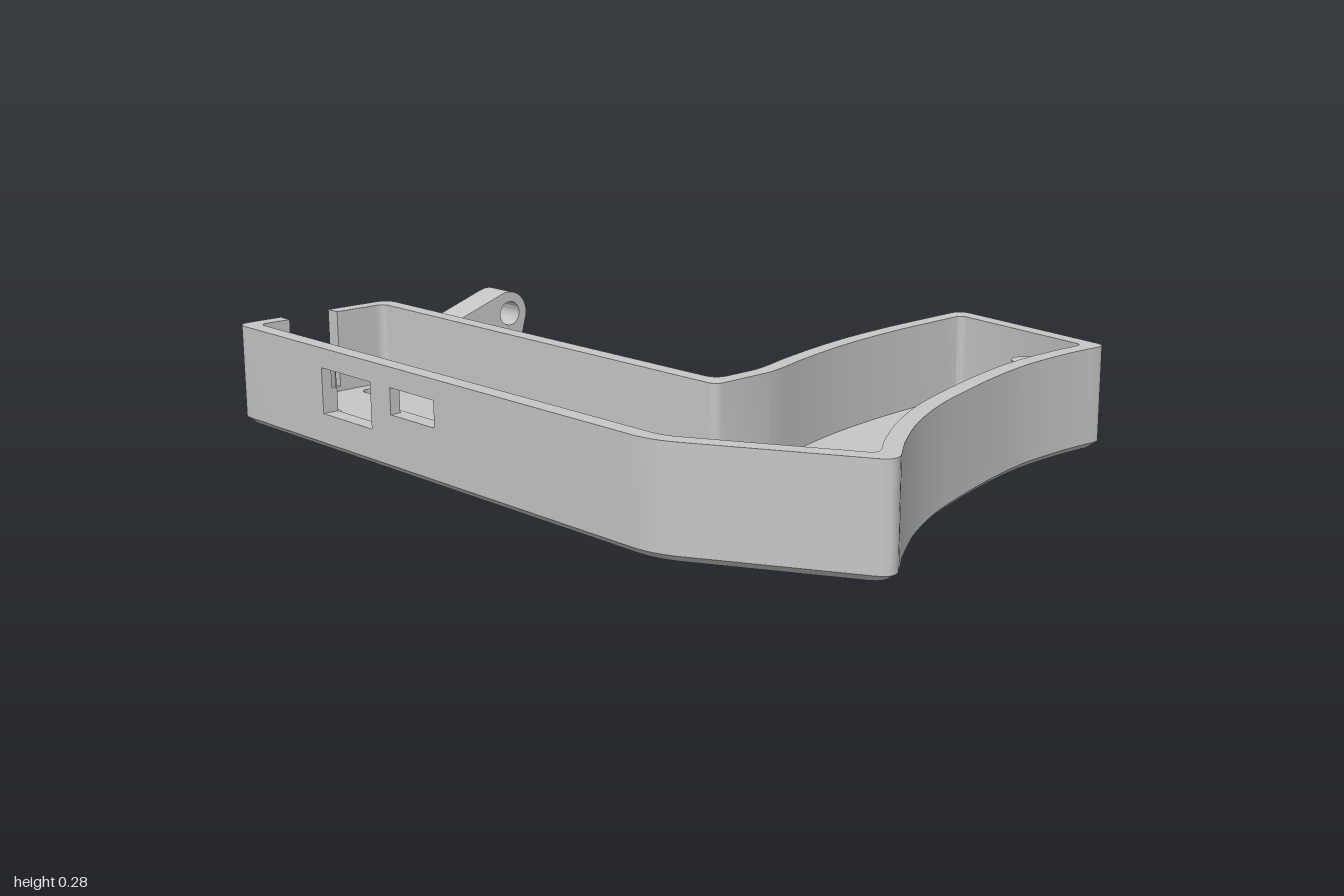
import * as THREE from 'three';
import { toCreasedNormals } from 'three/addons/utils/BufferGeometryUtils.js';

const WALL = 0.042, FLOOR = 0.04, CHAMFER = 0.016, TOP = 0.255;
const grey = new THREE.MeshStandardMaterial({ color: 0xc6c6c6 });
grey.name = 'grey plastic';

// Corners are [x, z, rounding]; curves become runs of unrounded corners.
const curve = (pts) =>
  new THREE.SplineCurve(pts.map(([x, z]) => new THREE.Vector2(x, z))).getPoints(24).map((p) => [p.x, p.y, 0]);

// Main run of the wall, from the back notch round to the windowed panel
const mainRun = [
  [-0.455, -1, 0], [-0.266, -1, 0.04], [-0.266, 0.282, 0.04],
  ...curve([[-0.14, 0.282], [-0.09, 0.272], [0, 0.247], [0.15, 0.214], [0.3, 0.193], [0.45, 0.183], [0.6, 0.181]]),
  [0.735, 0.181, 0.04], [0.656, 0.7, 0.035],
  ...curve([[0.6, 0.691], [0.5, 0.685], [0.35, 0.689], [0.2, 0.714], [0.05, 0.75], [-0.1, 0.794], [-0.25, 0.859], [-0.38, 0.937]]),
  [-0.487, 1.016, 0.045], [-0.73, 0.57, 0.06], [-0.73, -0.1, 0],
];
// Short run round the back corner
const cornerRun = [[-0.73, -0.72, 0], [-0.73, -1, 0.04], [-0.6, -1, 0]];

// Move a run of corners inwards by d, mitring each corner
function inset(run, d, closed) {
  const n = run.length;
  const normal = (i, j) => {
    const dx = run[j][0] - run[i][0], dz = run[j][1] - run[i][1], l = Math.hypot(dx, dz);
    return [-dz / l, dx / l];
  };
  return run.map(([x, z, t], i) => {
    const hasPrev = closed || i > 0, hasNext = closed || i < n - 1;
    const b = hasNext ? normal(i, (i + 1) % n) : normal(i - 1, i);
    const a = hasPrev ? normal((i + n - 1) % n, i) : b;
    const k = d / (1 + a[0] * b[0] + a[1] * b[1]);
    return [x + (a[0] + b[0]) * k, z + (a[1] + b[1]) * k, t * (d > 0.03 ? 0.6 : 1)];
  });
}

// Round the corners and return plan points (x, -z)
function rounded(run) {
  const out = [], n = run.length;
  run.forEach(([x, z, t], i) => {
    const c = new THREE.Vector2(x, -z);
    if (!t) { out.push(c); return; }
    const towards = (q) => {
      const v = new THREE.Vector2(q[0], -q[1]).sub(c);
      return c.clone().add(v.setLength(t));
    };
    out.push(...new THREE.QuadraticBezierCurve(towards(run[(i + n - 1) % n]), c, towards(run[(i + 1) % n])).getPoints(8));
  });
  return out;
}

// Holes run against the clockwise outlines
function circleHole(x, y, r) {
  const p = new THREE.Path();
  p.absarc(x, y, r, 0, Math.PI * 2, false);
  return p;
}

const extrude = (shape, depth) => new THREE.ExtrudeGeometry(shape, { depth, bevelEnabled: false, curveSegments: 24 });

export function createModel() {
  const model = new THREE.Group();
  const add = (name, geometry) => {
    const mesh = new THREE.Mesh(toCreasedNormals(geometry, 0.5), grey);
    mesh.name = name;
    model.add(mesh);
  };
  // Plan shape raised between two heights
  const slab = (shape, y0, y1) => extrude(shape, y1 - y0).rotateX(-Math.PI / 2).translate(0, y0, 0);

  // Floor with screw holes
  const outline = [...mainRun, ...cornerRun];
  const screws = [[-0.648, -0.842], [-0.39, -0.897], [0.645, 0.262], [-0.13, 0.721]];
  const outer = rounded(outline);
  const floorShape = new THREE.Shape(outer);
  screws.forEach(([x, z]) => floorShape.holes.push(circleHole(x, -z, 0.028)));
  add('floor', slab(floorShape, CHAMFER, FLOOR));

  // Chamfered underside: edge drawn in, screw holes flared out
  const lower = rounded(inset(outline, CHAMFER, true));
  const base = slab(floorShape, 0, CHAMFER);
  const pos = base.attributes.position;
  for (let i = 0; i < pos.count; i++) {
    if (pos.getY(i) > CHAMFER / 2) continue;
    const x = pos.getX(i), z = pos.getZ(i);
    const screw = screws.find(([sx, sz]) => Math.hypot(x - sx, z - sz) < 0.032);
    if (screw) {
      pos.setX(i, screw[0] + (x - screw[0]) * 1.6);
      pos.setZ(i, screw[1] + (z - screw[1]) * 1.6);
    } else {
      const k = outer.findIndex((p) => Math.hypot(p.x - x, p.y + z) < 1e-5);
      if (k >= 0) { pos.setX(i, lower[k].x); pos.setZ(i, -lower[k].y); }
    }
  }
  add('chamferedBase', base);

  // Walls
  const wall = (name, run) =>
    add(name, slab(new THREE.Shape([...rounded(run), ...rounded(inset(run, WALL, false)).reverse()]), FLOOR, TOP));
  wall('mainWall', mainRun);
  wall('cornerWall', cornerRun);
  add('notchSill', new THREE.BoxGeometry(0.145, 0.012, WALL).translate(-0.5275, FLOOR + 0.006, -1 + WALL / 2));

  // Windowed panel: an outer skin with two windows and an inner layer with a joined recess
  const path = (pts) => new THREE.Path(pts.map(([z, y]) => new THREE.Vector2(z, y)));
  const rect = (z0, z1, y0, y1) => path([[z0, y0], [z0, y1], [z1, y1], [z1, y0]]);
  const panel = (name, holes, xInner, thickness) => {
    const s = new THREE.Shape([[-0.72, FLOOR], [-0.1, FLOOR], [-0.1, TOP], [-0.72, TOP]].map((p) => new THREE.Vector2(...p)));
    s.holes.push(...holes);
    add(name, extrude(s, thickness).rotateY(-Math.PI / 2).translate(xInner, 0, 0));
  };
  panel('windowPanelOuter', [rect(-0.615, -0.41, 0.09, 0.205), rect(-0.33, -0.16, 0.14, 0.205)], -0.703, 0.027);
  panel('windowPanelInner', [path([[-0.69, 0.15], [-0.69, 0.205], [-0.155, 0.205], [-0.155, 0.14],
    [-0.41, 0.14], [-0.41, 0.09], [-0.615, 0.09], [-0.615, 0.15]])], -0.73 + WALL, 0.015);

  // Posts with a collar at the foot
  [[-0.638, -0.742, 0.026, 0.035], [-0.565, 0.513, 0.039, 0.046], [0.586, 0.513, 0.039, 0.046]].forEach(([x, z, r, foot]) => {
    const profile = [[0, 0.03], [foot, 0.03], [foot, 0.055], [r, 0.06], [r, 0.2], [0, 0.2]];
    add('post', new THREE.LatheGeometry(profile.map((p) => new THREE.Vector2(...p)), 32).translate(x, 0, z));
  });

  // Hinge lugs on the inner side
  const wide = new THREE.Shape();
  wide.moveTo(-0.28, 0.2);
  wide.lineTo(-0.12, 0.2);
  wide.absarc(-0.12, 0.11, 0.09, Math.PI / 2, -1.9, true);
  wide.lineTo(-0.28, 0.06);
  wide.holes.push(circleHole(-0.11, 0.11, 0.032));
  add('wideLug', extrude(wide, 0.23).translate(0, 0, -0.535));

  const narrow = new THREE.Shape();
  narrow.moveTo(-0.28, 0.212);
  narrow.lineTo(-0.076, 0.282);
  narrow.absarc(-0.056, 0.225, 0.06, 1.9, -0.27, true);
  narrow.absarc(-0.12, 0.11, 0.09, -0.27, -1.9, true);
  narrow.lineTo(-0.28, 0.06);
  narrow.holes.push(circleHole(-0.052, 0.226, 0.032), circleHole(-0.11, 0.11, 0.032));
  add('narrowLug', extrude(narrow, 0.092).translate(0, 0, -0.829));

  return model;
}
